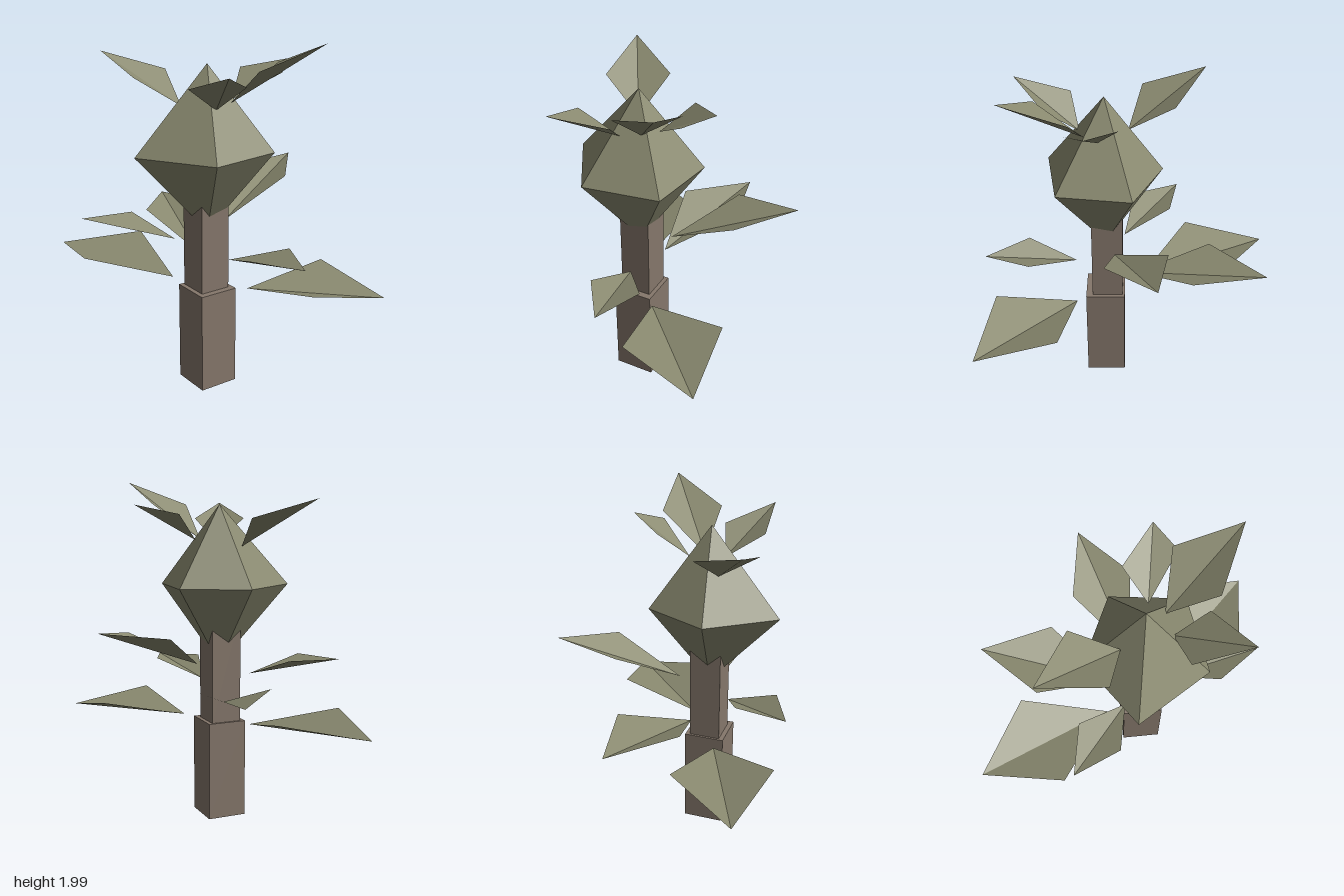
import * as THREE from 'three';

const bark = new THREE.MeshStandardMaterial({ color: 0x85776b, flatShading: true });
const green = new THREE.MeshStandardMaterial({ color: 0x8a8a70, flatShading: true });
const leafGreen = new THREE.MeshStandardMaterial({ color: 0x8a8a70, flatShading: true, side: THREE.DoubleSide });

// Flat-shaded mesh from a list of triangles, each of three [x, y, z] corners
function facets(name, triangles, material) {
  const geometry = new THREE.BufferGeometry();
  geometry.setAttribute('position', new THREE.Float32BufferAttribute(triangles.flat(2), 3));
  geometry.computeVertexNormals();
  const mesh = new THREE.Mesh(geometry, material);
  mesh.name = name;
  return mesh;
}

// Four-sided trunk piece with a corner facing forward
function trunk(name, radius, y0, y1, x, z) {
  const mesh = new THREE.Mesh(new THREE.CylinderGeometry(radius, radius, y1 - y0, 4), bark);
  mesh.position.set(x, (y0 + y1) / 2, z);
  mesh.name = name;
  return mesh;
}

// Diamond leaf folded along the rib from base to tip
const leaf = (name, base, tip, sideA, sideB) =>
  facets(name, [[base, sideA, tip], [base, tip, sideB]], leafGreen);

// Five-sided bud: an uneven ring between two points
function bud() {
  const y = 1.39;
  const ring = [[0.37, y, 0.165], [0.115, y, 0.52], [-0.345, y, 0.41], [-0.27, y, -0.03], [0.11, y, -0.17]];
  const top = [0, 1.86, 0.165];
  const bottom = [0, 0.92, 0.165];
  const triangles = [];
  ring.forEach((p, i) => {
    const q = ring[(i + 1) % ring.length];
    triangles.push([top, q, p], [bottom, p, q]);
  });
  return facets('bud', triangles, green);
}

export function createModel() {
  const model = new THREE.Group();
  model.name = 'plant';
  model.add(
    trunk('lowerTrunk', 0.165, 0, 0.585, 0, 0.17),
    trunk('upperTrunk', 0.128, 0.585, 1.25, -0.008, 0.16),
    bud()
  );

  // Each leaf: base, tip, one side corner, other side corner
  const trunkLeaves = [
    [[0.23, 0.59, 0.175], [1, 0.59, 0.18], [0.63, 0.685, -0.11], [0.62, 0.685, 0.45]],
    [[-0.22, 0.59, 0.08], [-1, 0.645, -0.23], [-0.52, 0.71, -0.34], [-0.725, 0.71, 0.18]],
    [[-0.09, 0.73, 0], [-0.46, 0.87, -0.69], [-0.09, 0.885, -0.455], [-0.457, 0.885, -0.25]],
    [[0.076, 0.94, 0.01], [0.38, 1.19, -0.625], [0.065, 1.145, -0.4], [0.395, 1.145, -0.243]],
    [[-0.18, 0.87, 0.19], [-0.705, 0.98, 0.25], [-0.43, 0.98, 0.36], [-0.46, 0.98, 0.08]],
    [[0.14, 0.797, 0.272], [0.58, 0.885, 0.58], [0.285, 0.9, 0.533], [0.475, 0.9, 0.31]]
  ];
  const budLeaves = [
    [[-0.15, 1.62, 0.13], [-0.633, 1.89, 0], [-0.287, 1.785, -0.095], [-0.38, 1.785, 0.25]],
    [[0.13, 1.655, 0.19], [0.633, 1.99, 0.267], [0.365, 1.858, 0.04], [0.305, 1.858, 0.388]],
    [[0.07, 1.635, 0.29], [0.198, 1.87, 0.685], [-0.04, 1.775, 0.48], [0.242, 1.775, 0.38]],
    [[0.12, 1.655, 0.09], [0.41, 1.857, -0.12], [0.14, 1.805, -0.1], [0.39, 1.805, 0.06]]
  ];
  trunkLeaves.forEach((corners, i) => model.add(leaf(`trunkLeaf${i + 1}`, ...corners)));
  budLeaves.forEach((corners, i) => model.add(leaf(`budLeaf${i + 1}`, ...corners)));
  return model;
}
